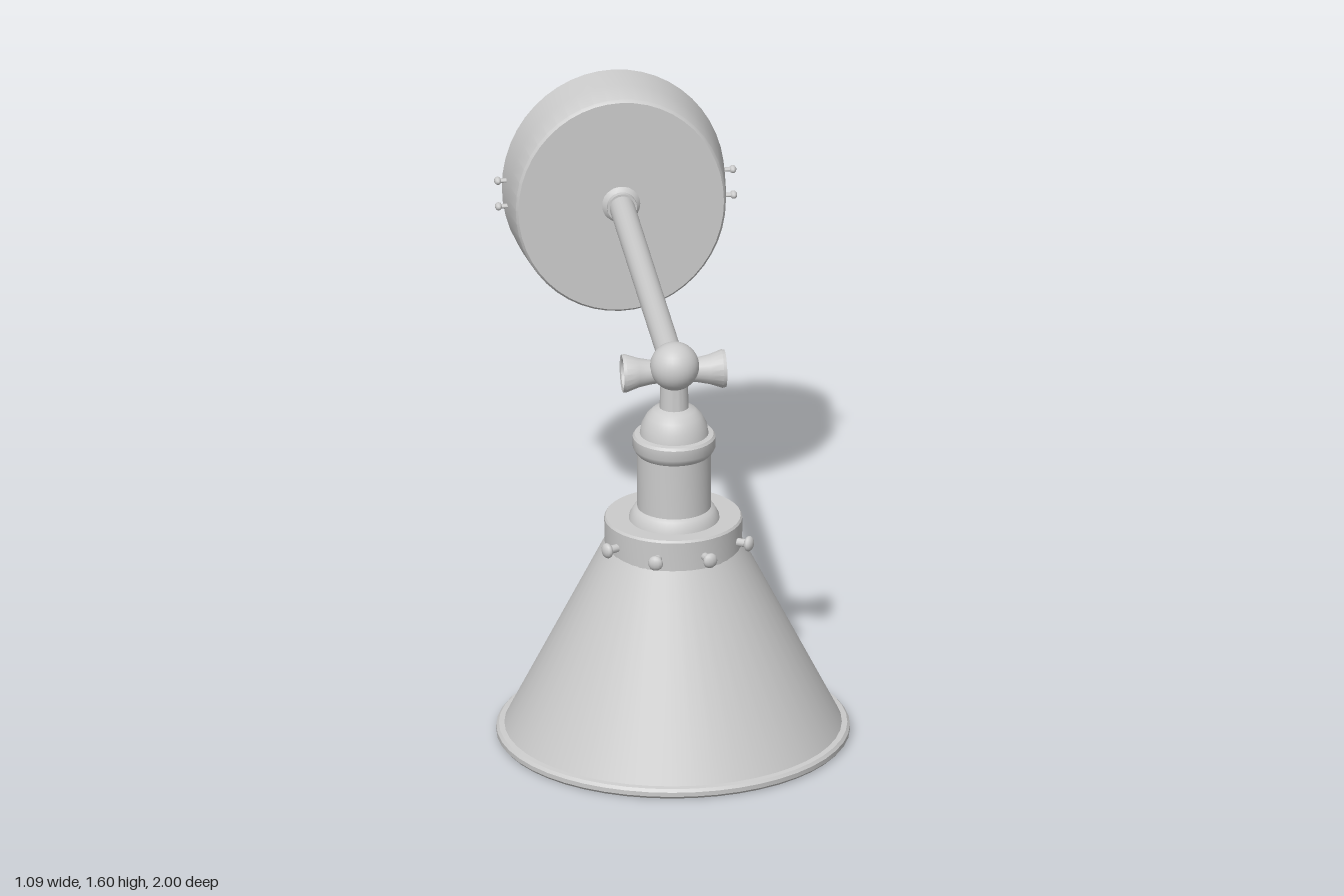
import * as THREE from 'three';
import { toCreasedNormals } from 'three/addons/utils/BufferGeometryUtils.js';

const material = new THREE.MeshStandardMaterial({ color: 0xcccccc, side: THREE.DoubleSide });
const SHADE_Z = 0.465; // axis of the shade
const STEM_Z = 0.49; // axis of socket and joint
const ARM_Y = 1.23;

function add(parent, name, geometry, x = 0, y = 0, z = 0) {
  const mesh = new THREE.Mesh(geometry, material);
  mesh.name = name;
  mesh.position.set(x, y, z);
  parent.add(mesh);
  return mesh;
}

// Turned part from [radius, height] pairs
function turned(points, segments = 40) {
  const profile = points.map(([r, h]) => new THREE.Vector2(r, h));
  return toCreasedNormals(new THREE.LatheGeometry(profile, segments), 0.6);
}

// Small thumbscrew pointing along +z before it is turned outward
function thumbScrew(name, size) {
  const screw = new THREE.Group();
  screw.name = name;
  add(screw, 'screwShaft', new THREE.CylinderGeometry(0.013, 0.013, 0.05, 10).rotateX(Math.PI / 2), 0, 0, 0.01);
  add(screw, 'screwHead', new THREE.SphereGeometry(1, 12, 8).scale(0.024, 0.024, 0.015), 0, 0, 0.036);
  screw.scale.setScalar(size);
  return screw;
}

export function createModel() {
  const lamp = new THREE.Group();
  lamp.name = 'wallLamp';

  // Conical shade, open at the bottom, with a rolled rim
  const shade = turned([
    [0.195, 0.65], [0.505, 0.035], [0.515, 0.005], [0.538, 0.004], [0.545, 0.012],
    [0.545, 0.026], [0.537, 0.035], [0.52, 0.037], [0.21, 0.65],
  ], 48);
  add(lamp, 'shade', shade, 0, 0, SHADE_Z).scale.z = 0.982;

  // Collar gripping the shade
  add(lamp, 'collar', turned([
    [0, 0.66], [0.19, 0.66], [0.2, 0.63], [0.212, 0.632], [0.213, 0.725], [0.208, 0.732], [0, 0.732],
  ]), 0, 0, SHADE_Z + 0.005);

  // Thumbscrews around the collar
  for (const side of [-1, 1]) {
    for (const degrees of [20, 62, 156]) {
      const angle = side * THREE.MathUtils.degToRad(degrees);
      const screw = thumbScrew('collarScrew', 1);
      screw.position.set(0.213 * Math.sin(angle), 0.672, SHADE_Z + 0.005 + 0.213 * Math.cos(angle));
      screw.rotation.y = angle;
      lamp.add(screw);
    }
  }

  // Socket: flared foot, barrel, ring, dome and neck
  add(lamp, 'socket', turned([
    [0, 0.72], [0.142, 0.72], [0.138, 0.742], [0.125, 0.765], [0.114, 0.772], [0.114, 0.95],
    [0.122, 0.96], [0.128, 0.972], [0.128, 1.005], [0.122, 1.013], [0.106, 1.015],
    [0.101, 1.045], [0.085, 1.075], [0.066, 1.094], [0.045, 1.102], [0.042, 1.19], [0, 1.19],
  ]), 0, 0, STEM_Z);

  // Ball joint
  add(lamp, 'jointBall', new THREE.SphereGeometry(0.076, 28, 18), 0, 1.242, STEM_Z + 0.01);

  // Hollow flared knobs on both sides of the joint
  const flare = turned([
    [0, 0.02], [0.034, 0.02], [0.038, 0.07], [0.046, 0.11], [0.06, 0.15],
    [0.058, 0.16], [0.046, 0.157], [0.034, 0.12], [0.026, 0.085], [0, 0.08],
  ], 20);
  for (const side of [-1, 1]) {
    const knob = add(lamp, 'jointKnob', flare, 0, 1.215, STEM_Z - 0.015);
    knob.rotation.z = -side * Math.PI / 2;
  }

  // Straight arm from joint to wall
  add(lamp, 'arm', new THREE.CylinderGeometry(0.039, 0.039, 1.3, 20).rotateX(Math.PI / 2), 0, ARM_Y, -0.17);

  // Hollow wall plate, open at the back
  const plate = turned([
    [0, -0.825], [0.338, -0.825], [0.362, -1], [0.375, -1],
    [0.366, -0.9], [0.354, -0.812], [0.346, -0.803], [0, -0.803],
  ], 48).rotateX(Math.PI / 2);
  add(lamp, 'wallPlate', plate, 0, 1.224, 0).scale.x = 0.922;

  // Rounded nut holding the arm inside the plate
  add(lamp, 'armNut', new THREE.SphereGeometry(0.07, 20, 14), 0, ARM_Y, -0.83).scale.z = 0.75;
  add(lamp, 'armFlange', new THREE.CylinderGeometry(0.046, 0.046, 0.03, 20).rotateX(Math.PI / 2), 0, ARM_Y, -0.79);

  // Pairs of small screws on the sides of the plate
  for (const side of [-1, 1]) {
    for (const y of [1.267, 1.19]) {
      const screw = thumbScrew('plateScrew', 0.75);
      screw.position.set(side * 0.338, y, y > 1.22 ? -0.95 : -0.93);
      screw.rotation.y = side * Math.PI / 2;
      screw.scale.y = 0.5;
      lamp.add(screw);
    }
  }
  return lamp;
}
